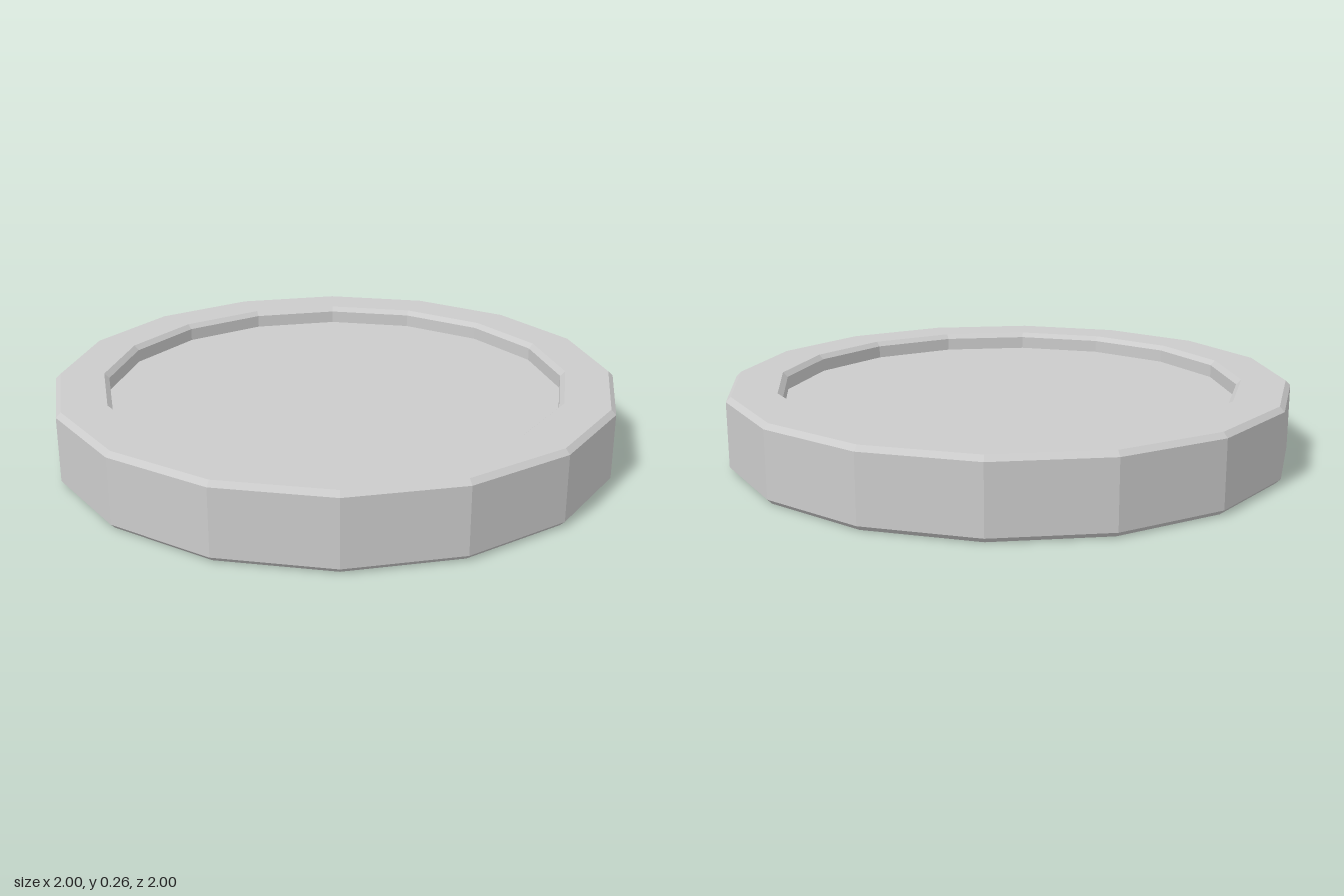
import * as THREE from 'three';

const SIDES = 16;
const HEIGHT = 0.262;
const BEVEL = 0.017;
const OUTER = 1;
const INNER = 0.81;

export function createModel() {
  const group = new THREE.Group();
  group.name = 'recessedDisc';
  const material = new THREE.MeshStandardMaterial({ color: 0xcccccc, flatShading: true });

  // Rim: closed rectangular section with all four edges bevelled
  const profile = [
    [OUTER - BEVEL, 0],
    [OUTER, BEVEL],
    [OUTER, HEIGHT - BEVEL],
    [OUTER - BEVEL, HEIGHT],
    [INNER + BEVEL, HEIGHT],
    [INNER, HEIGHT - BEVEL],
    [INNER, BEVEL],
    [INNER + BEVEL, 0],
    [OUTER - BEVEL, 0],
  ].map(([r, y]) => new THREE.Vector2(r, y));
  const rim = new THREE.Mesh(new THREE.LatheGeometry(profile, SIDES), material);
  rim.name = 'rim';
  group.add(rim);

  // Plate: set back from both the top and the bottom of the rim
  const plate = new THREE.Mesh(new THREE.CylinderGeometry(INNER, INNER, 0.136, SIDES), material);
  plate.name = 'plate';
  plate.position.y = HEIGHT / 2;
  group.add(plate);

  return group;
}
